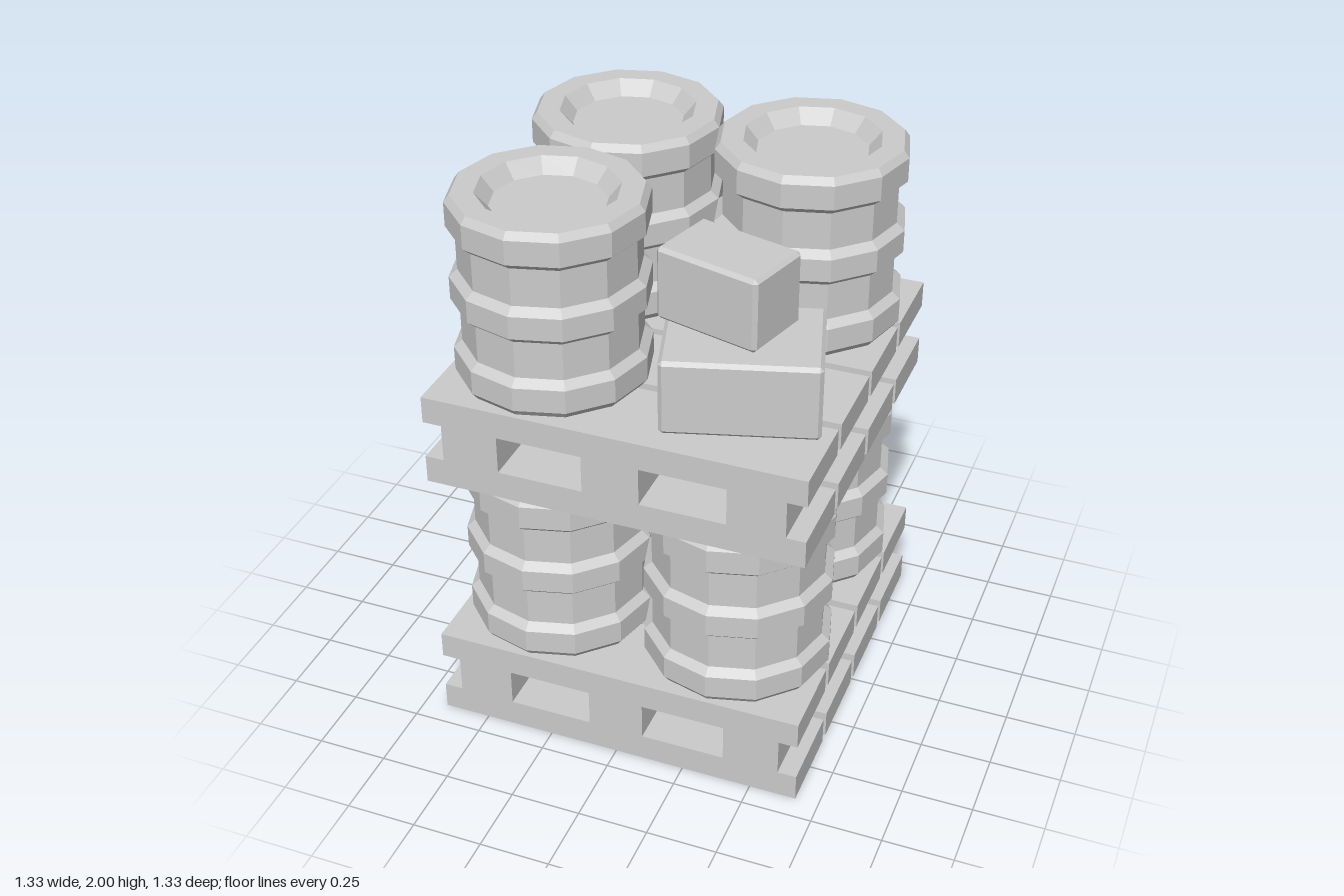
import * as THREE from 'three';
import { ConvexGeometry } from 'three/addons/geometries/ConvexGeometry.js';

const material = new THREE.MeshStandardMaterial({ color: 0xcccccc, flatShading: true });

function addMesh(parent, name, geometry, x, y, z) {
  const mesh = new THREE.Mesh(geometry, material);
  mesh.name = name;
  mesh.position.set(x, y, z);
  parent.add(mesh);
  return mesh;
}

// Box with its edges cut at 45 degrees
function chamferedBox(w, h, d, c) {
  const points = [];
  for (const sx of [-1, 1]) for (const sy of [-1, 1]) for (const sz of [-1, 1]) {
    const x = w / 2, y = h / 2, z = d / 2;
    points.push(
      new THREE.Vector3(sx * x, sy * (y - c), sz * (z - c)),
      new THREE.Vector3(sx * (x - c), sy * y, sz * (z - c)),
      new THREE.Vector3(sx * (x - c), sy * (y - c), sz * z));
  }
  return new ConvexGeometry(points);
}

const HALF = 0.667, GAP = 0.033, LEVEL = 1, DECK = 0.333;

// Pallet: three bearers between a lower and an upper layer of four boards
function createPallet() {
  const pallet = new THREE.Group();
  pallet.name = 'pallet';
  const layers = [['bottomBoard', 0, 0.1], ['topBoard', 0.236, DECK]];
  const pitch = (2 * HALF + GAP) / 4;
  for (const [name, y0, y1] of layers) {
    const board = new THREE.BoxGeometry(2 * HALF, y1 - y0, pitch - GAP);
    for (let i = 0; i < 4; i++) addMesh(pallet, name, board, 0, (y0 + y1) / 2, (i - 1.5) * pitch);
  }
  const bearer = new THREE.BoxGeometry(0.2, 0.136, 2 * HALF);
  for (const x of [-0.5, 0, 0.5]) addMesh(pallet, 'bearer', bearer, x, 0.168, 0);
  return pallet;
}

// Barrel: twelve-sided, three bulging hoops and a recessed lid
function barrelGeometry() {
  const RIM = 0.314, HOOP = 0.333, BODY = 0.304;
  const profile = [
    [0, 0], [RIM, 0], [HOOP, 0.025], [HOOP, 0.11], [BODY, 0.135],
    [BODY, 0.268], [HOOP, 0.293], [HOOP, 0.374], [BODY, 0.399],
    [BODY, 0.532], [HOOP, 0.557], [HOOP, 0.642], [RIM, 0.667],
    [0.237, 0.667], [0.193, 0.617], [0, 0.617],
  ];
  return new THREE.LatheGeometry(profile.map(([r, y]) => new THREE.Vector2(r, y)), 12);
}

export function createModel() {
  const model = new THREE.Group();
  model.name = 'loadedPallets';
  const barrel = barrelGeometry();

  // Two loaded levels; boxes take the front left barrel's place on the upper one
  for (const level of [0, 1]) {
    const load = new THREE.Group();
    load.name = level ? 'upperLoad' : 'lowerLoad';
    load.position.y = level * LEVEL;
    load.add(createPallet());
    for (const sx of [-1, 1]) for (const sz of [-1, 1]) {
      if (level === 1 && sx === 1 && sz === 1) continue;
      addMesh(load, 'barrel', barrel, sx * 0.333, DECK, sz * 0.333);
    }
    model.add(load);
  }

  // Stacked boxes, turned opposite ways
  const large = addMesh(model, 'largeBox', chamferedBox(0.52, 0.268, 0.39, 0.013), 0.333, 1.468, 0.333);
  large.rotation.y = 0.286;
  const small = addMesh(model, 'smallBox', chamferedBox(0.389, 0.26, 0.257, 0.013), 0.254, 1.733, 0.269);
  small.rotation.y = -0.27;

  return model;
}
